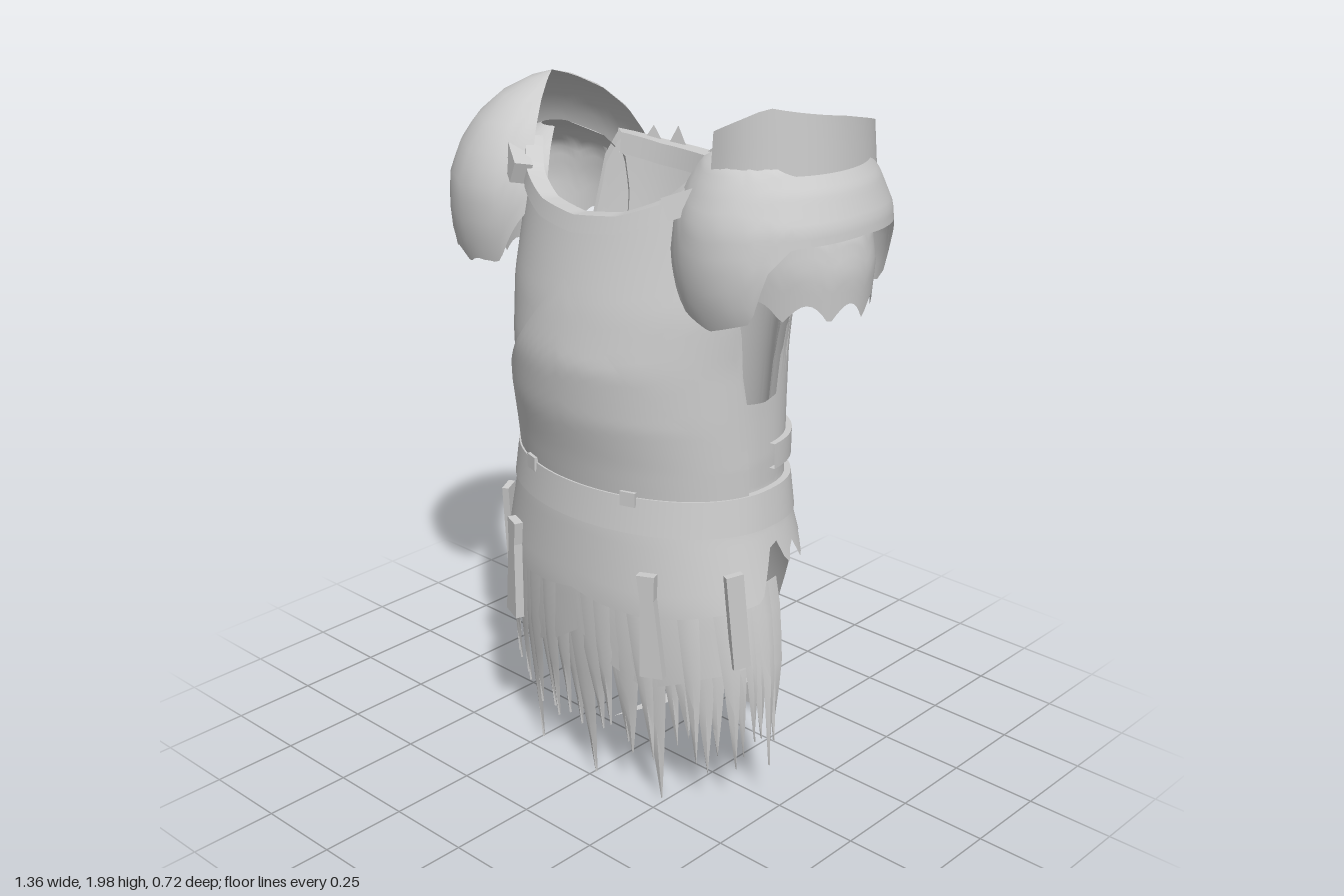
import * as THREE from 'three';
import { toCreasedNormals } from 'three/addons/utils/BufferGeometryUtils.js';

const steel = new THREE.MeshStandardMaterial({ color: 0xcccccc, side: THREE.DoubleSide });
steel.name = 'pale steel';
const RAD = Math.PI / 180;

// Linear lookup in rows of [key, value, value...]
function look(rows, k, col = 1) {
  if (k <= rows[0][0]) return rows[0][col];
  for (let i = 1; i < rows.length; i++) {
    const a = rows[i - 1], b = rows[i];
    if (k <= b[0]) return a[col] + (b[col] - a[col]) * (k - a[0]) / (b[0] - a[0]);
  }
  return rows[rows.length - 1][col];
}

// Body cross-sections: height, half width, front depth, back depth
const BODY = [
  [0, 0.49, 0.235, 0.33], [0.45, 0.49, 0.29, 0.33], [0.65, 0.465, 0.3, 0.31], [0.85, 0.415, 0.295, 0.265],
  [0.95, 0.4, 0.285, 0.26], [1.03, 0.4, 0.3, 0.265], [1.15, 0.395, 0.33, 0.275], [1.3, 0.39, 0.345, 0.29],
  [1.45, 0.4, 0.32, 0.305], [1.6, 0.385, 0.285, 0.32], [1.8, 0.365, 0.24, 0.325]];

// Point on the body at an angle in degrees (0 = front, 90 = left), pushed out by off; the back is squarer
function body(deg, y, off = 0) {
  const c = Math.cos(deg * RAD), s = Math.sin(deg * RAD), p = c > 0 ? 1 : 0.78;
  return [(look(BODY, y, 1) + off) * Math.sign(s) * Math.abs(s) ** p, y,
    (look(BODY, y, c > 0 ? 2 : 3) + off) * Math.sign(c) * Math.abs(c) ** p];
}

// Height of the upper rim by angle, with the torn armholes at the sides
const RIM = [[0, 1.65], [20, 1.665], [40, 1.71], [58, 1.79], [66, 1.7], [72, 1.52], [76, 1.43], [79, 1.36], [81, 1.2],
  [92, 1.19], [101, 1.2], [103, 1.31], [105, 1.29], [109, 1.4], [111, 1.36], [113, 1.5], [118, 1.7], [125, 1.77], [150, 1.74], [180, 1.72]];
const HEM = [[0, 0.64], [12, 0.62], [30, 0.61], [60, 0.64], [80, 0.66], [92, 0.82], [98, 0.72], [104, 0.79],
  [112, 0.71], [120, 0.78], [150, 0.7], [180, 0.63]];
const around = (deg) => Math.abs(((deg + 180) % 360 + 360) % 360 - 180);
const rim = (deg) => look(RIM, around(deg));

let root;
function add(geometry, name) {
  const mesh = new THREE.Mesh(geometry, steel);
  mesh.name = name;
  root.add(mesh);
  return mesh;
}

// Grid surface from a rule f(u, v) with u, v in 0..1
function sheet(name, nu, nv, f) {
  const pos = [], idx = [];
  for (let j = 0; j <= nv; j++) for (let i = 0; i <= nu; i++) pos.push(...f(i / nu, j / nv));
  for (let j = 0; j < nv; j++) for (let i = 0; i < nu; i++) {
    const a = j * (nu + 1) + i, b = a + 1, c = a + nu + 1, d = c + 1;
    idx.push(a, b, d, a, d, c);
  }
  const g = new THREE.BufferGeometry();
  g.setAttribute('position', new THREE.Float32BufferAttribute(pos, 3));
  g.setIndex(idx);
  return add(toCreasedNormals(g, 0.7), name);
}

// Raised strap around the body with a rectangular section
function band(name, from, to, low, high, inner, outer, n = 60) {
  const loop = [[0, inner], [0, outer], [1, outer], [1, inner], [0, inner]];
  sheet(name, n, 4, (u, v) => {
    const d = from + (to - from) * u, [t, off] = loop[Math.round(v * 4)];
    return body(d, low(d) + (high(d) - low(d)) * t, off);
  });
}

// Shoulder dome: s = side, profile rows of [height, radius factor]
function dome(name, s, o) {
  sheet(name, 72, 14, (u, v) => {
    const a = -o.span + 2 * o.span * u;
    const low = o.bottom(a, u);
    const y = low + (o.top(a) - low) * (1 - (1 - v) ** 1.7);
    const r = look(o.profile, y);
    return [s * (o.cx + o.rx * r * Math.cos(a * RAD)), y, -0.05 + o.rz * r * Math.sin(a * RAD)];
  });
}

function box(name, w, h, d, x, y, z, rx = 0, ry = 0, rz = 0) {
  const m = add(new THREE.BoxGeometry(w, h, d), name);
  m.position.set(x, y, z);
  m.rotation.set(rx, ry, rz);
}

export function createModel() {
  root = new THREE.Group();
  root.name = 'tornArmour';
  let seed = 7;
  const rnd = () => (seed = (seed * 16807) % 2147483647) / 2147483647;

  // Torso shell, its lining, and the closed waist inside it
  sheet('torso', 180, 24, (u, v) => body(u * 360, 0.9 + (rim(u * 360) - 0.9) * v));
  sheet('lining', 180, 12, (u, v) => body(u * 360, 0.9 + (rim(u * 360) - 0.92) * v, -0.055 + 0.035 * v));
  sheet('waistFloor', 48, 1, (u, v) => {
    const p = body(u * 360, 0.9, -0.055);
    return [p[0] * v, 0.9, p[2] * v];
  });

  // Pointed lower breast plate
  sheet('lowerBreastPlate', 48, 16, (u, v) => {
    const d = -80 + 160 * u;
    const peak = 1.52 - 0.44 * Math.min(1, Math.abs(Math.sin(d * RAD)) / 0.97);
    return body(d, 0.95 + (peak - 0.95) * v, 0.013);
  });

  // Waist belts
  band('belt', 0, 360, () => 0.85, () => 0.95, 0, 0.018, 90);
  band('backBelt', 95, 265, () => 1.0, () => 1.07, 0, 0.016);

  // Collar bands following the neckline
  band('frontCollar', -56, 56, (d) => rim(d) - 0.015, (d) => rim(d) + 0.03, -0.03, 0.016, 40);
  band('backCollar', 125, 235, (d) => rim(d) - 0.06, rim, -0.04, 0.014, 40);
  for (const [d, h] of [[140, 0.06], [157, 0.05], [172, 0.025], [185, 0.03], [203, 0.06], [216, 0.045]])
    sheet('collarTatter', 1, 1, (u, v) => body(d + (u - 0.5) * 10 * (1 - v), rim(d) - 0.01 + h * v));

  // Hip skirt under the belt
  sheet('hipSkirt', 120, 8, (u, v) => {
    const d = u * 360, low = look(HEM, around(d));
    return body(d, 0.88 + (low - 0.88) * v, 0.012);
  });

  // Cloth beneath the skirt with a centre split
  const cloth = [[0, 0.5], [14, 0.42], [26, 0.38], [50, 0.44], [90, 0.5]];
  sheet('frontCloth', 60, 5, (u, v) => {
    const d = -84 + 168 * u, low = look(cloth, Math.abs(d));
    return body(d, 0.78 + (low - 0.78) * v, -0.008);
  });

  // Torn cloth strips hanging round the front and sides
  const count = 35;
  for (let i = 0; i < count; i++) {
    const d = -87 + 174 * i / (count - 1);
    const long = [11, 17, 23].includes(i);
    const tip = long ? 0.015 : 0.13 + 0.12 * rnd();
    const wide = 9 + 5 * rnd(), lean = (rnd() - 0.5) * 4, off = -0.025 * rnd();
    sheet('tornStrip', 2, 6, (u, v) => {
      const fold = u === 0.5 ? 0.006 : 0;
      return body(d + (u - 0.5) * wide * (1 - 0.98 * v ** 1.7) + lean * v, 0.7 + (tip - 0.7) * v, off + fold);
    });
  }

  // Long tapering back cloth
  const TAIL = [[0.035, 0.02, 0.14, -0.345], [0.45, -0.12, 0.22, -0.335], [0.62, -0.25, 0.3, -0.315], [0.8, -0.36, 0.37, -0.28]];
  sheet('backCloth', 12, 12, (u, v) => {
    const y = 0.8 - 0.765 * v, a = look(TAIL, y, 1), b = look(TAIL, y, 2), x = a + (b - a) * u;
    return [x, y, look(TAIL, y, 3) + 0.8 * (1 - v) * x * x];
  });
  // Loose scrap stretched forward from the back cloth
  sheet('looseScrap', 1, 1, (u, v) => [v ? -0.03 : 0.02 + 0.12 * u, 0.138, v ? 0.12 : -0.335]);

  // Shoulder domes
  const full = [[1.44, 0.9], [1.5, 0.97], [1.6, 1], [1.68, 0.98], [1.76, 0.88], [1.83, 0.72], [1.89, 0.48], [1.93, 0.2], [1.945, 0]];
  dome('rightShoulder', -1, { cx: 0.415, rx: 0.268, rz: 0.31, span: 128, profile: full, top: () => 1.945,
    bottom: (a, u) => look([[0, 1.48], [60, 1.46], [95, 1.44], [110, 1.48], [128, 1.62]], Math.abs(a)) + 0.03 * Math.abs(Math.sin(u * 31)) });
  const cut = [[1.44, 0.88], [1.52, 0.97], [1.62, 1], [1.72, 0.96], [1.8, 0.84], [1.85, 0.72], [1.89, 0.45]];
  dome('leftShoulder', 1, { cx: 0.415, rx: 0.265, rz: 0.31, span: 128, profile: cut,
    top: (a) => look([[-128, 1.77], [-60, 1.84], [40, 1.84], [75, 1.885], [128, 1.87]], a),
    bottom: (a) => look([[0, 1.69], [42, 1.68], [54, 1.62], [62, 1.49], [90, 1.45], [110, 1.48], [128, 1.62]], Math.abs(a)) });

  // Upright neck guard on the left shoulder
  sheet('shoulderGuard', 24, 3, (u, v) => {
    const a = -112 + 208 * u, top = look([[-112, 1.87], [-60, 1.9], [0, 1.965], [55, 2], [96, 1.93]], a);
    const r = 1.06 - 0.06 * v, rz = a > 0 ? 0.23 : 0.28;
    return [0.39 + 0.2 * r * Math.cos(a * RAD), 1.75 + (top - 1.75) * v, -0.06 + rz * r * Math.sin(a * RAD)];
  });

  for (const s of [-1, 1]) {
    // Ragged sleeve inside each shoulder
    dome('sleeve', s, { cx: 0.4, rx: s > 0 ? 0.27 : 0.22, rz: 0.195, span: 125, top: () => 1.8,
      profile: [[1.4, 0.94], [1.6, 1], [1.7, 0.94], [1.76, 0.65], [1.8, 0.2]],
      bottom: (a, u) => 1.47 + 0.05 * Math.abs(Math.sin(u * 26)) });
    // Shoulder buckles
    box('shoulderBuckle', 0.1, 0.06, 0.05, s * 0.3, 1.745, 0.19, -0.2, s * 0.5, s * 0.45);
    // Hanging straps with flared ends
    const strap = new THREE.Shape([[-0.026, 0.15], [0.026, 0.15], [0.02, 0.08], [0.034, -0.15], [-0.034, -0.15], [-0.02, 0.08]]
      .map((p) => new THREE.Vector2(...p)));
    const m = add(new THREE.ExtrudeGeometry(strap, { depth: 0.025, bevelEnabled: false }), 'hangingStrap');
    m.position.set(s * 0.258, 0.6, 0.265);
    m.rotation.set(0, s * 0.35, s * 0.06);
    // Belt loops
    box('beltLoop', 0.045, 0.04, 0.02, s * 0.18, 0.945, 0.27, 0, s * 0.3, 0);
    // Side tasset
    const p = body(s * 66, 0.62, 0.012);
    box('sideTasset', 0.05, 0.28, 0.02, p[0], 0.62, p[2], 0, s * 66 * RAD, s * 0.1);
  }
  return root;
}
